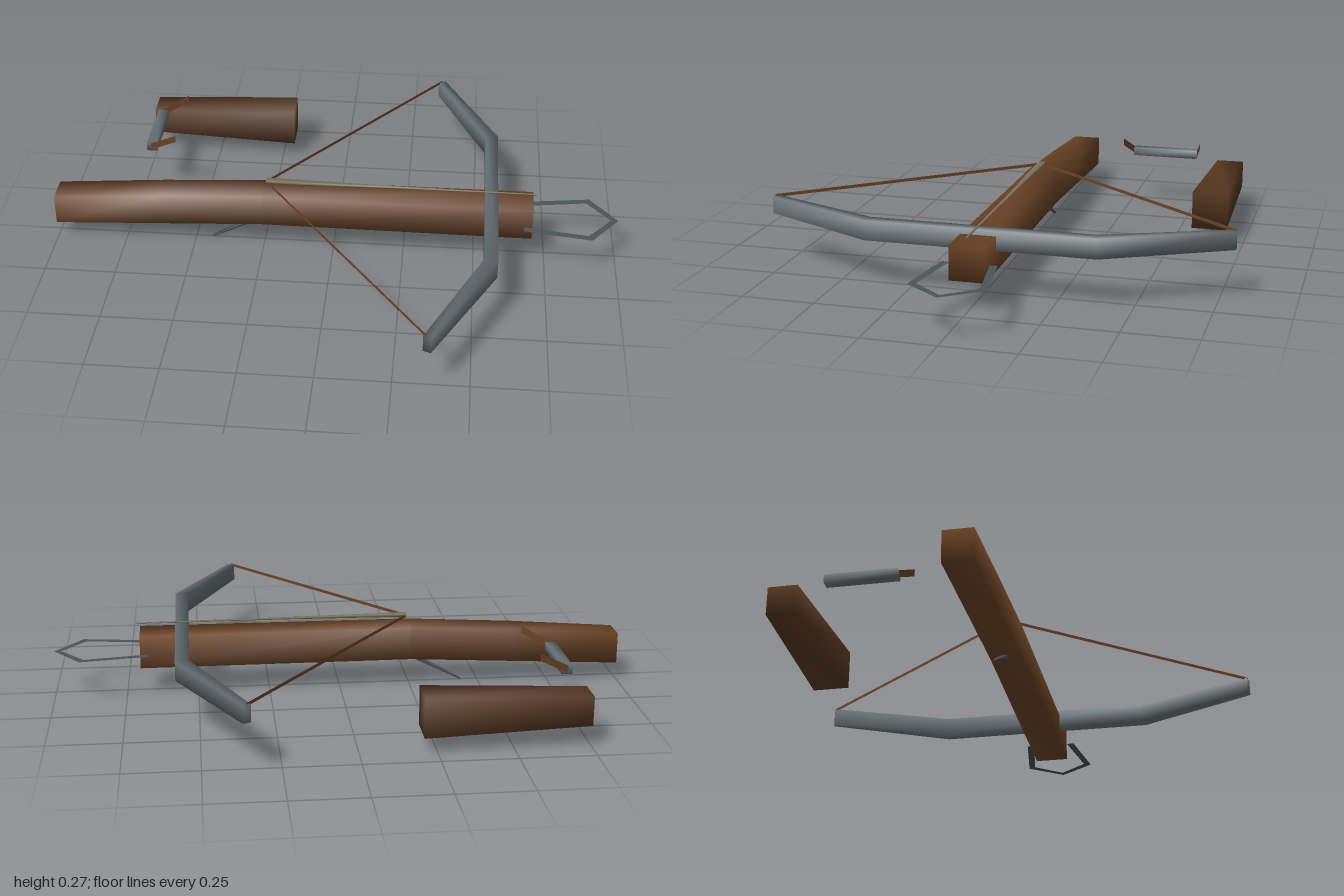
import * as THREE from 'three';

const wood = new THREE.MeshStandardMaterial({ color: 0x6b4326 });
const darkWood = new THREE.MeshStandardMaterial({ color: 0x573822 });
const steel = new THREE.MeshStandardMaterial({ color: 0x667075 });
const thinSteel = new THREE.MeshStandardMaterial({ color: 0x4c5458, side: THREE.DoubleSide });
const thinWood = new THREE.MeshStandardMaterial({ color: 0x6b4326, side: THREE.DoubleSide });
const boltMaterial = new THREE.MeshStandardMaterial({ color: 0x7d755c });

// Four-cornered beam through sections [x, z, sideX, sideZ, bottomY, topY], softly shaded.
function beam(name, material, sections) {
  const positions = [];
  const index = [];
  for (const [x, z, sx, sz, y0, y1] of sections) {
    positions.push(x + sx, y0, z + sz, x - sx, y0, z - sz, x - sx, y1, z - sz, x + sx, y1, z + sz);
  }
  for (let i = 0; i < sections.length - 1; i++) {
    for (let k = 0; k < 4; k++) {
      const a = i * 4 + k;
      const b = i * 4 + ((k + 1) % 4);
      index.push(a, b, a + 4, b, b + 4, a + 4);
    }
  }
  const e = (sections.length - 1) * 4;
  index.push(0, 2, 1, 0, 3, 2, e, e + 1, e + 2, e, e + 2, e + 3);
  const geometry = new THREE.BufferGeometry();
  geometry.setAttribute('position', new THREE.Float32BufferAttribute(positions, 3));
  geometry.setIndex(index);
  geometry.computeVertexNormals();
  const mesh = new THREE.Mesh(geometry, material);
  mesh.name = name;
  return mesh;
}

// Flat upright strip between two points, seen from both sides.
function strip(name, material, [ax, ay, az], [bx, by, bz], heightA, heightB = heightA) {
  const geometry = new THREE.BufferGeometry();
  geometry.setAttribute('position', new THREE.Float32BufferAttribute([
    ax, ay - heightA / 2, az, bx, by - heightB / 2, bz,
    bx, by + heightB / 2, bz, ax, ay + heightA / 2, az,
  ], 3));
  geometry.setIndex([0, 1, 2, 0, 2, 3]);
  geometry.computeVertexNormals();
  const mesh = new THREE.Mesh(geometry, material);
  mesh.name = name;
  return mesh;
}

export function createModel() {
  const model = new THREE.Group();
  model.name = 'crossbow';

  // Stock: level at the front, drooping towards the butt
  model.add(beam('stock', wood, [
    [-1, 0, 0, 0.05, 0.06, 0.17],
    [-0.62, 0, 0, 0.052, 0.08, 0.198],
    [-0.25, 0, 0, 0.055, 0.1, 0.217],
    [0.7, 0, 0, 0.06, 0.1, 0.217],
  ]));

  // Bow limbs: one beam with a knee on each side
  model.add(beam('bow', steel, [
    [0.358, -0.795, -0.013, 0.005, 0.17, 0.23],
    [0.553, -0.385, -0.023, 0.005, 0.168, 0.235],
    [0.553, 0.385, -0.023, -0.005, 0.168, 0.235],
    [0.358, 0.795, -0.013, -0.005, 0.17, 0.23],
  ]));

  // Drawn string, from each limb tip back to the nut
  for (const side of [-1, 1]) {
    model.add(strip('bowString', thinWood, [-0.24, 0.246, 0], [0.358, 0.23, side * 0.795], 0.011));
  }

  // Bolt lying on the stock, widest at its tail
  model.add(beam('bolt', boltMaterial, [
    [-0.24, 0, 0, 0.012, 0.245, 0.255],
    [0.2, 0, 0, 0.005, 0.246, 0.251],
    [0.71, 0, 0, 0.002, 0.244, 0.248],
  ]));

  // Trigger lever slanting down under the stock
  model.add(beam('trigger', thinSteel, [
    [-0.44, 0, 0, 0.005, 0, 0.005],
    [-0.24, 0, 0, 0.006, 0.1, 0.118],
  ]));

  // Foot stirrup: a flat five-sided loop, open at the stock
  const half = [[0.67, 0.092], [0.905, 0.127], [1, 0], [0.975, 0], [0.893, 0.101], [0.67, 0.066]];
  for (const side of [-1, 1]) {
    const shape = new THREE.Shape(half.map(([x, z]) => new THREE.Vector2(x, side * z)));
    const arm = new THREE.Mesh(new THREE.ShapeGeometry(shape).rotateX(-Math.PI / 2), thinSteel);
    arm.position.y = 0.152;
    arm.name = 'stirrupArm';
    model.add(arm);
  }

  // Quiver lying apart, wider at its mouth
  model.add(beam('quiver', darkWood, [
    [-0.75, -0.63, 0, 0.05, 0.073, 0.172],
    [-0.205, -0.63, 0, 0.0625, 0.055, 0.19],
  ]));

  // Spanning lever: cross bar with two flaring upright prongs
  const lever = new THREE.Group();
  lever.name = 'spanningLever';
  lever.add(beam('leverBar', steel, [
    [-0.702, -0.505, -0.018, 0, 0.188, 0.218],
    [-0.702, -0.26, -0.018, 0, 0.188, 0.218],
  ]));
  for (const side of [-1, 1]) {
    lever.add(strip('leverProng', thinWood,
      [-0.705, 0.205, -0.3825 + side * 0.1225], [-0.605, 0.258, -0.3825 + side * 0.1475], 0.026));
  }
  model.add(lever);

  return model;
}
